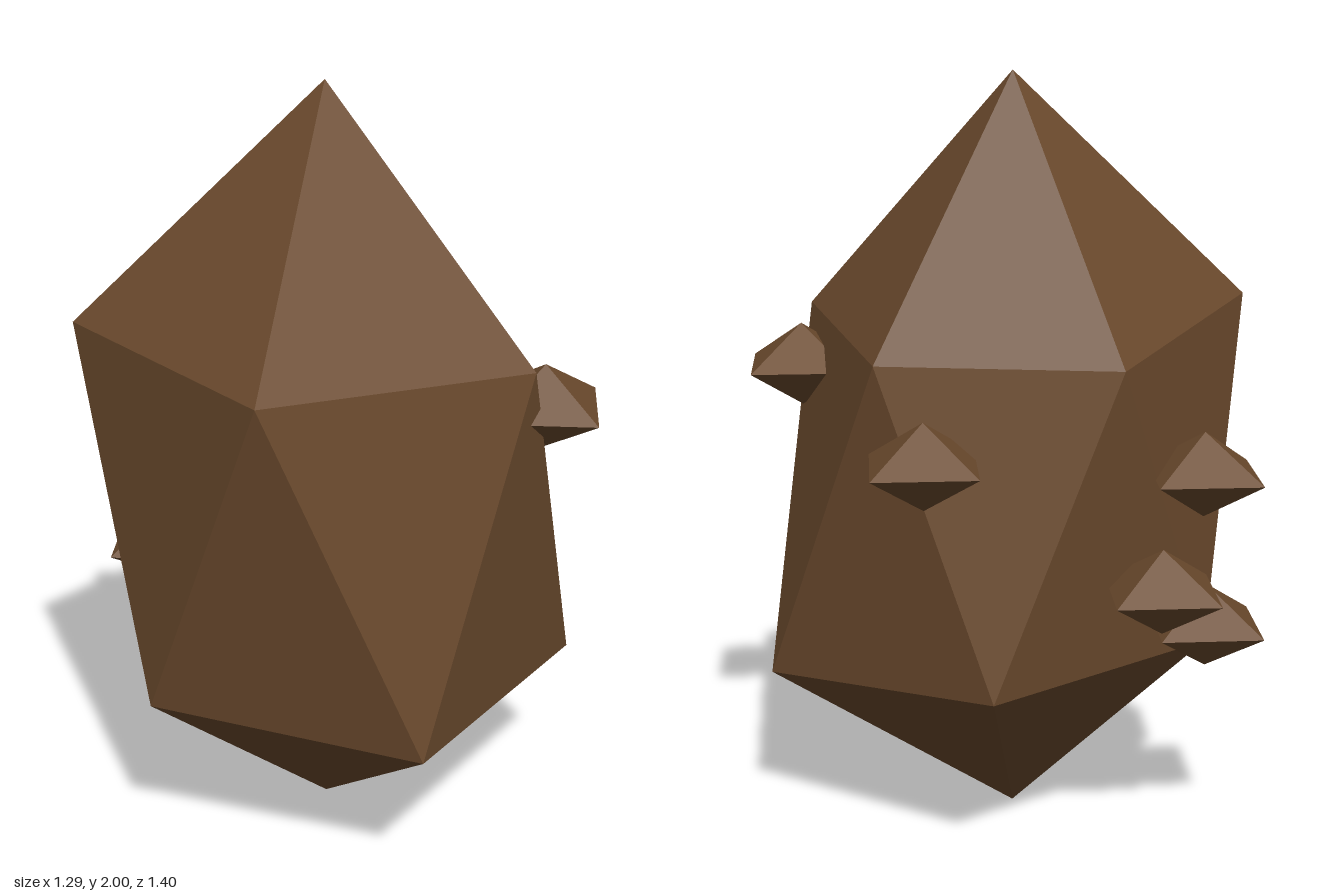
import * as THREE from 'three';

// Irregular tall icosahedron: two rings of five corners between two tips
const TOP = [-0.07, 2, 0.04];
const BOTTOM = [-0.07, 0, 0.04];
const UPPER = [[0.45, 1.32, 0.04], [0.12, 1.36, 0.595], [-0.61, 1.41, 0.43], [-0.58, 1.4, -0.33], [0.09, 1.32, -0.46]];
const LOWER = [[0.455, 0.43, 0.43], [-0.27, 0.45, 0.64], [-0.65, 0.49, 0.04], [-0.27, 0.53, -0.455], [0.38, 0.5, -0.29]];

// Centres of the small squashed octahedra
const NUBS = [[0.235, 1.22, 0.517], [0.46, 1.1, -0.135], [-0.165, 1.02, -0.517], [0, 0.75, -0.517], [-0.195, 0.61, -0.51]];

function bodyGeometry() {
  const corners = [];
  for (let i = 0; i < 5; i++) {
    const j = (i + 1) % 5;
    const h = (i + 4) % 5;
    corners.push(TOP, UPPER[j], UPPER[i]);
    corners.push(UPPER[i], UPPER[j], LOWER[i]);
    corners.push(UPPER[i], LOWER[i], LOWER[h]);
    corners.push(BOTTOM, LOWER[h], LOWER[i]);
  }
  const geometry = new THREE.BufferGeometry();
  geometry.setAttribute('position', new THREE.Float32BufferAttribute(corners.flat(), 3));
  geometry.computeVertexNormals();
  return geometry;
}

export function createModel() {
  const model = new THREE.Group();
  const brown = new THREE.MeshStandardMaterial({ color: 0x6b4a2d, flatShading: true });
  brown.name = 'earthBrown';

  const body = new THREE.Mesh(bodyGeometry(), brown);
  body.name = 'body';
  model.add(body);

  // Nubs on the surface
  const nubGeometry = new THREE.OctahedronGeometry(0.184).scale(1, 0.6, 1);
  NUBS.forEach((centre, i) => {
    const nub = new THREE.Mesh(nubGeometry, brown);
    nub.name = `nub${i + 1}`;
    nub.position.set(...centre);
    model.add(nub);
  });
  return model;
}
